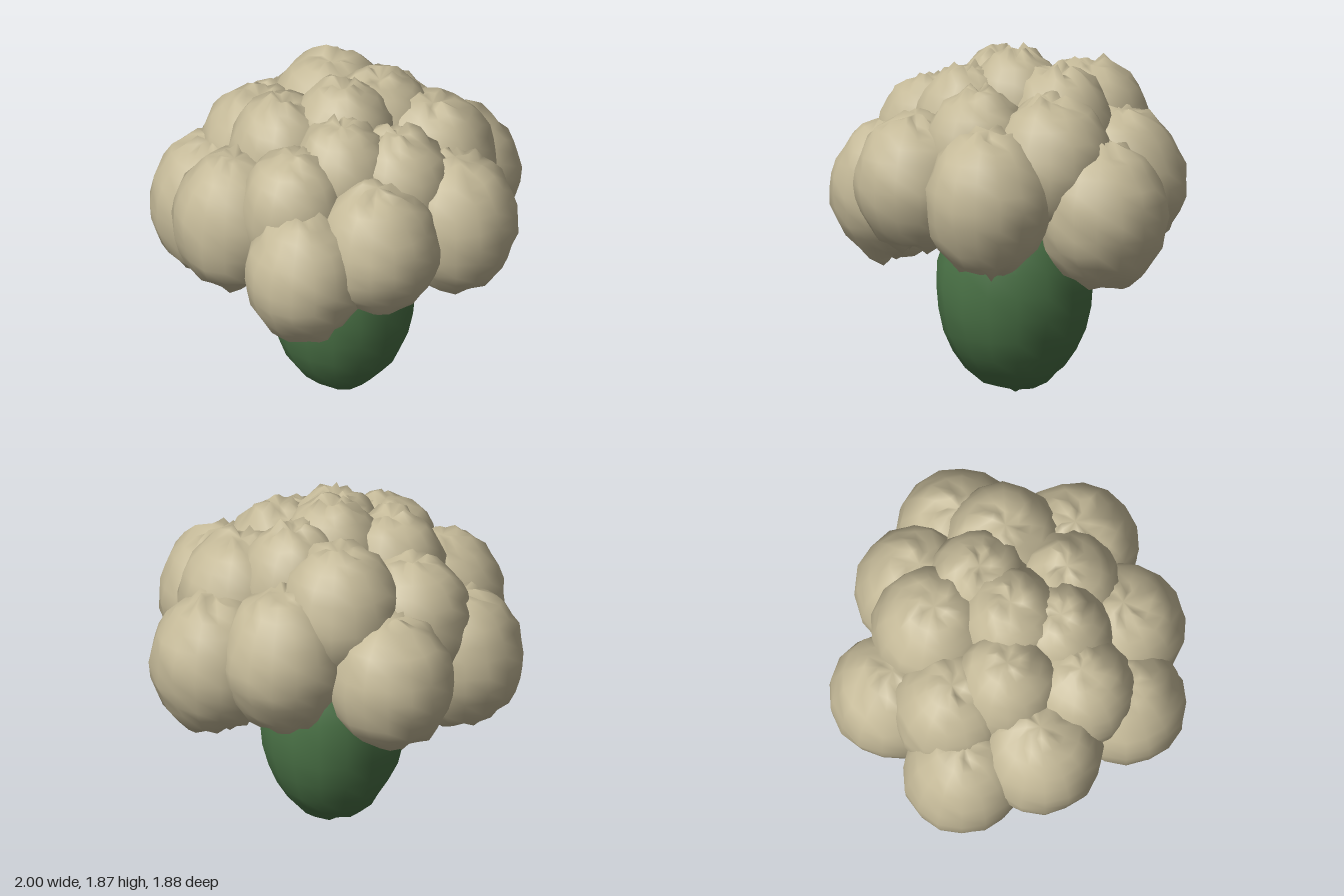
import * as THREE from 'three';
import { mergeVertices } from 'three/addons/utils/BufferGeometryUtils.js';

// Small seeded generator for the organic bumps
function seeded(seed) {
  let s = seed * 7919 + 17;
  return () => {
    s = (s * 16807) % 2147483647;
    return s / 2147483647;
  };
}

// Stretched ball, gently uneven on its sides and crumpled around the poles
function lumpyBall(rx, ry, rz, seed, bump, crumple) {
  const raw = new THREE.SphereGeometry(1, 16, 14);
  raw.deleteAttribute('uv');
  raw.deleteAttribute('normal');
  const geo = mergeVertices(raw, 1e-4);
  const rand = seeded(seed);
  for (let i = 0; i < 5; i++) rand();
  const p = geo.attributes.position;
  const v = new THREE.Vector3();
  for (let i = 0; i < p.count; i++) {
    v.fromBufferAttribute(p, i);
    const pole = Math.abs(v.y) ** 5;
    const dimple = Math.abs(v.y) > 0.999 ? 1 - crumple : 1;
    const k = 1 + (rand() - 0.5) * 2 * (bump + crumple * pole);
    p.setXYZ(i, v.x * k * rx, v.y * k * dimple * ry, v.z * k * rz);
  }
  geo.computeVertexNormals();
  return geo;
}

// Floret centres and radii: x, y, z, horizontal radius, vertical radius
const outerFlorets = [
  [-0.08, 1.07, 0.62, 0.32, 0.375],
  [0.29, 1.19, 0.50, 0.335, 0.365],
  [0.66, 1.16, 0.13, 0.34, 0.39],
  [0.59, 1.07, -0.48, 0.345, 0.39],
  [0.20, 1.17, -0.60, 0.34, 0.39],
  [-0.38, 1.08, -0.58, 0.335, 0.375],
  [-0.67, 1.03, -0.10, 0.33, 0.39],
  [-0.50, 1.17, 0.27, 0.335, 0.39],
];
const crownFlorets = [
  [-0.17, 1.32, 0.40, 0.295, 0.365],
  [0.36, 1.35, 0.17, 0.295, 0.365],
  [0.50, 1.32, -0.21, 0.335, 0.375],
  [-0.07, 1.39, -0.44, 0.335, 0.38],
  [-0.43, 1.28, -0.24, 0.32, 0.37],
  [-0.27, 1.42, 0.02, 0.295, 0.36],
  [0.07, 1.42, 0.22, 0.28, 0.36],
  [0.21, 1.43, -0.27, 0.295, 0.37],
  [0.04, 1.49, -0.05, 0.29, 0.365],
];

export function createModel() {
  const model = new THREE.Group();
  model.name = 'vegetableHead';

  const cream = new THREE.MeshStandardMaterial({ color: 0xc4b998 });
  cream.name = 'cream';
  const green = new THREE.MeshStandardMaterial({ color: 0x4a7246 });
  green.name = 'green';

  // Egg-shaped stem
  const stem = new THREE.Mesh(lumpyBall(0.388, 0.575, 0.418, 3, 0.012, 0.02), green);
  stem.name = 'stem';
  stem.position.set(0.037, 0.578, -0.037);
  model.add(stem);

  // Ring of large florets and the crown above it
  let seed = 11;
  const addFlorets = (list, name) => {
    const group = new THREE.Group();
    group.name = name;
    for (const [x, y, z, r, h] of list) {
      const floret = new THREE.Mesh(lumpyBall(r, h, r, seed++, 0.03, 0.07), cream);
      floret.name = 'floret';
      floret.position.set(x, y, z);
      floret.rotation.y = seed * 1.3;
      group.add(floret);
    }
    model.add(group);
  };
  addFlorets(outerFlorets, 'outerFlorets');
  addFlorets(crownFlorets, 'crownFlorets');

  return model;
}
